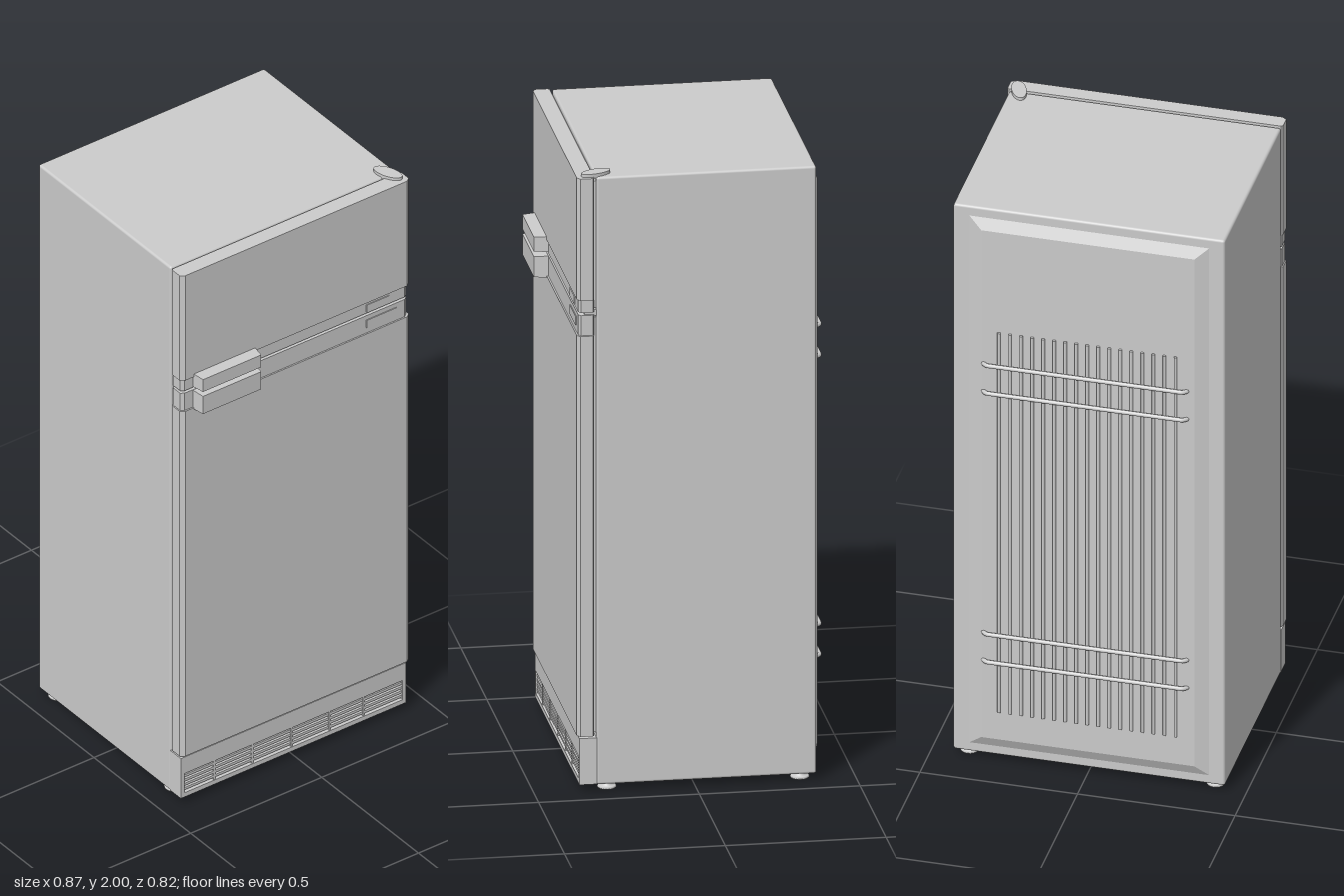
import * as THREE from 'three';
import { RoundedBoxGeometry } from 'three/addons/geometries/RoundedBoxGeometry.js';

export function createModel() {
  const model = new THREE.Group();
  const mat = new THREE.MeshStandardMaterial({ color: 0xcccccc });

  function add(name, geometry, x = 0, y = 0, z = 0, parent = model) {
    const mesh = new THREE.Mesh(geometry, mat);
    mesh.name = name;
    mesh.position.set(x, y, z);
    parent.add(mesh);
    return mesh;
  }
  // Box given by its limits, with optional rounded edges
  function block(name, x0, x1, y0, y1, z0, z1, r = 0, parent = model) {
    const s = [x1 - x0, y1 - y0, z1 - z0];
    const g = r ? new RoundedBoxGeometry(...s, 2, r) : new THREE.BoxGeometry(...s);
    return add(name, g, (x0 + x1) / 2, (y0 + y1) / 2, (z0 + z1) / 2, parent);
  }
  // Rectangular block tapering towards +z, or towards -z when z1 < z0
  function taper(name, x0, x1, y0, y1, z0, z1, insetX, insetY, parent = model) {
    const w = x1 - x0, h = y1 - y0;
    const g = new THREE.BoxGeometry(w, h, Math.abs(z1 - z0)).toNonIndexed();
    const p = g.attributes.position, side = Math.sign(z1 - z0);
    for (let i = 0; i < p.count; i++) {
      if (p.getZ(i) * side > 0) {
        p.setX(i, p.getX(i) * (1 - 2 * insetX / w));
        p.setY(i, p.getY(i) * (1 - 2 * insetY / h));
      }
    }
    g.computeVertexNormals();
    return add(name, g, (x0 + x1) / 2, (y0 + y1) / 2, (z0 + z1) / 2, parent);
  }
  // Door slab with chamfered vertical edges
  function slab(name, x0, x1, y0, y1, z0, z1, c) {
    const s = new THREE.Shape([
      [x0 + c * 0.5, -z0], [x0, -z0 - c * 0.5], [x0, -z1 + c], [x0 + c * 1.4, -z1],
      [x1 - c * 1.4, -z1], [x1, -z1 + c], [x1, -z0 - c * 0.5], [x1 - c * 0.5, -z0],
    ].map(([x, y]) => new THREE.Vector2(x, y)));
    const g = new THREE.ExtrudeGeometry(s, { depth: y1 - y0, bevelEnabled: false });
    g.rotateX(-Math.PI / 2);
    return add(name, g, 0, y0, 0);
  }

  // Cabinet and door seals
  block('cabinet', -0.435, 0.427, 0.022, 1.99, -0.376, 0.308, 0.008);
  block('freezerSeal', -0.42, 0.415, 1.565, 1.975, 0.3, 0.32);
  block('fridgeSeal', -0.42, 0.415, 0.19, 1.535, 0.3, 0.32);

  // Doors, each with a slimmer trim band along the meeting edge
  slab('freezerDoor', -0.438, 0.436, 1.596, 1.99, 0.316, 0.369, 0.01);
  slab('freezerTrim', -0.434, 0.428, 1.554, 1.596, 0.316, 0.364, 0.008);
  slab('fridgeTrim', -0.434, 0.428, 1.48, 1.545, 0.316, 0.364, 0.008);
  slab('fridgeDoor', -0.438, 0.436, 0.183, 1.48, 0.316, 0.369, 0.01);
  block('middleHinge', 0.36, 0.42, 1.54, 1.56, 0.3, 0.345);

  // Handles and small plates on the trim
  taper('freezerHandle', -0.392, -0.156, 1.557, 1.607, 0.362, 0.408, 0.007, 0.002);
  taper('fridgeHandle', -0.392, -0.156, 1.474, 1.544, 0.362, 0.408, 0.007, 0.002);
  block('upperPlate', 0.27, 0.357, 1.559, 1.586, 0.36, 0.367);
  block('lowerPlate', 0.27, 0.385, 1.501, 1.529, 0.36, 0.367);

  // Kick plate with a framed, louvred grille
  const kick = new THREE.Group();
  kick.name = 'kickPlate';
  model.add(kick);
  block('kickBack', -0.435, 0.425, 0.024, 0.174, 0.306, 0.344, 0, kick);
  block('kickTop', -0.435, 0.425, 0.112, 0.174, 0.34, 0.361, 0, kick);
  block('kickBottom', -0.435, 0.425, 0.024, 0.04, 0.34, 0.361, 0, kick);
  block('kickEnd', -0.435, -0.421, 0.04, 0.112, 0.34, 0.361, 0, kick);
  block('kickEnd', 0.411, 0.425, 0.04, 0.112, 0.34, 0.361, 0, kick);
  for (let i = 0; i < 4; i++) {
    const y = 0.047 + i * 0.016;
    block('louvre', -0.421, 0.411, y, y + 0.009, 0.34, 0.357, 0, kick);
  }
  for (const x of [-0.305, -0.16, -0.01, 0.135, 0.265]) {
    block('grilleDivider', x - 0.003, x + 0.003, 0.04, 0.112, 0.34, 0.359, 0, kick);
  }

  // Oval top hinge cover
  const hinge = add('topHinge', new THREE.CylinderGeometry(1, 1, 0.014, 32), 0.396, 1.993, 0.306);
  hinge.scale.set(0.023, 1, 0.05);
  hinge.rotation.y = 0.38;

  // Raised back panel
  taper('backPanel', -0.39, 0.38, 0.05, 1.96, -0.374, -0.394, 0.047, 0.04);

  // Condenser: upright rods crossed by bars with bent ends
  const condenser = new THREE.Group();
  condenser.name = 'condenser';
  model.add(condenser);
  const rod = new THREE.CylinderGeometry(0.0055, 0.0055, 1.37, 8);
  for (let i = 0; i < 17; i++) {
    add('condenserRod', rod, -0.284 + i * 0.035, 0.875, -0.397, condenser);
  }
  const path = new THREE.CurvePath();
  const points = [[-0.322, -0.388], [-0.317, -0.399], [-0.305, -0.404],
    [0.312, -0.404], [0.324, -0.399], [0.329, -0.388]].map(([x, z]) => new THREE.Vector3(x, 0, z));
  path.add(new THREE.QuadraticBezierCurve3(points[0], points[1], points[2]));
  path.add(new THREE.LineCurve3(points[2], points[3]));
  path.add(new THREE.QuadraticBezierCurve3(points[3], points[4], points[5]));
  const bar = new THREE.TubeGeometry(path, 120, 0.007, 8);
  for (const y of [0.37, 0.47, 1.34, 1.44]) add('condenserBar', bar, 0, y, 0, condenser);

  // Levelling feet
  const footProfile = [[0, 0], [0.028, 0], [0.03, 0.004], [0.028, 0.009], [0.015, 0.011], [0.015, 0.026]]
    .map(([x, y]) => new THREE.Vector2(x, y));
  const foot = new THREE.LatheGeometry(footProfile, 20);
  for (const x of [-0.395, 0.386]) {
    for (const z of [-0.33, 0.27]) add('foot', foot, x, 0, z);
  }

  return model;
}
